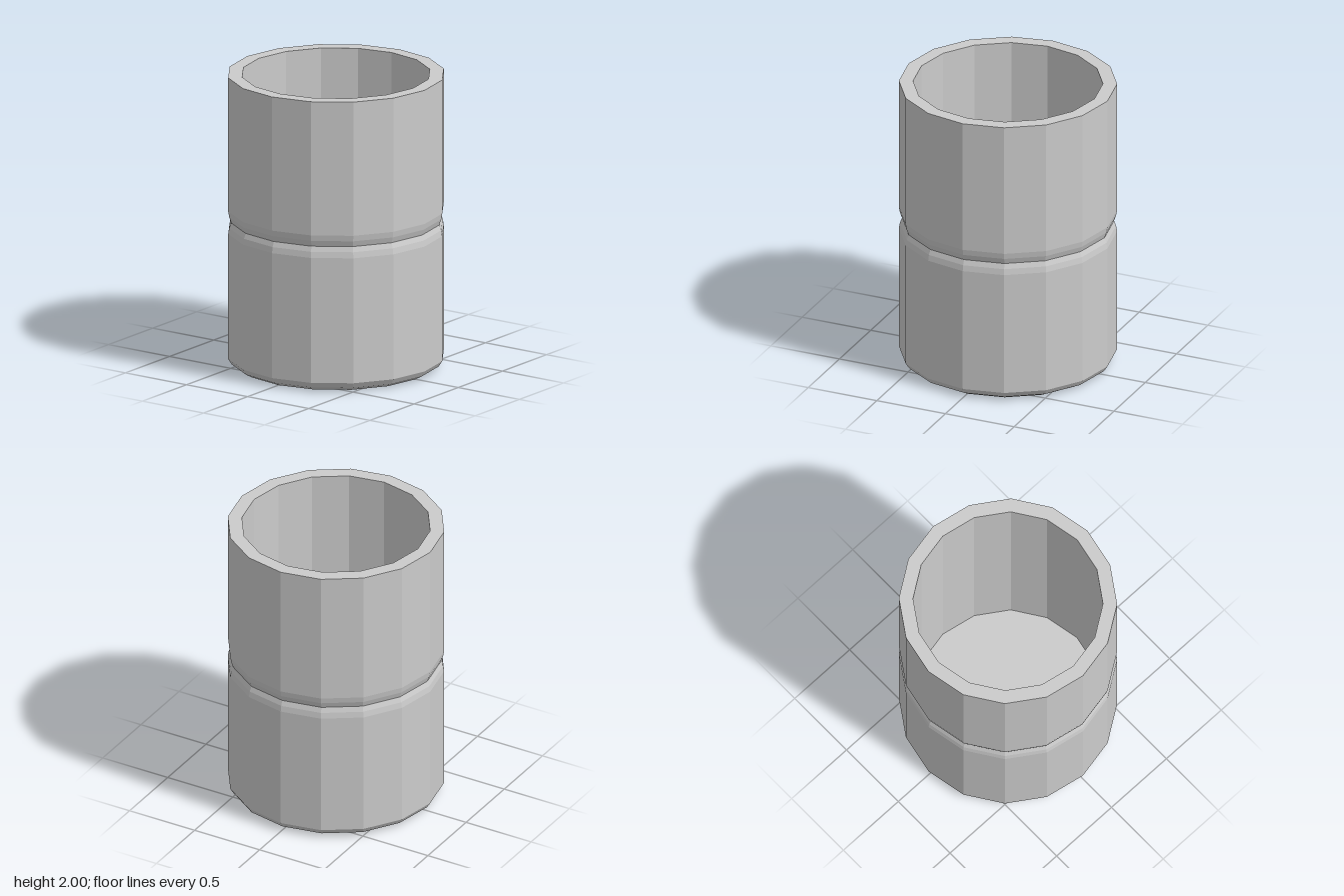
import * as THREE from 'three';

const SIDES = 16;

// Revolves [radius, height] pairs into a faceted surface
function revolve(name, profile, material) {
  const points = profile.map(([r, y]) => new THREE.Vector2(r, y));
  const mesh = new THREE.Mesh(new THREE.LatheGeometry(points, SIDES), material);
  mesh.name = name;
  return mesh;
}

export function createModel() {
  const group = new THREE.Group();
  group.name = 'cup';
  const material = new THREE.MeshStandardMaterial({ color: 0xcccccc, flatShading: true });
  const R = 0.724, inner = 0.63, floor = 0.1;

  // Base disc with rounded lower edge
  group.add(revolve('base', [[0, 0], [0.65, 0], [0.7, 0.027], [R, 0.065]], material));

  // Outer wall with a shallow groove at mid height
  group.add(revolve('outerWall', [
    [R, 0.065], [R, 0.925], [0.717, 0.965], [0.703, 1.0],
    [0.717, 1.04], [R, 1.08], [R, 2],
  ], material));

  // Flat rim
  group.add(revolve('rim', [[R, 2], [inner, 2]], material));

  // Hollow inside, down to the floor
  group.add(revolve('innerWall', [[inner, 2], [inner, floor]], material));
  group.add(revolve('innerFloor', [[inner, floor], [0, floor]], material));

  return group;
}
